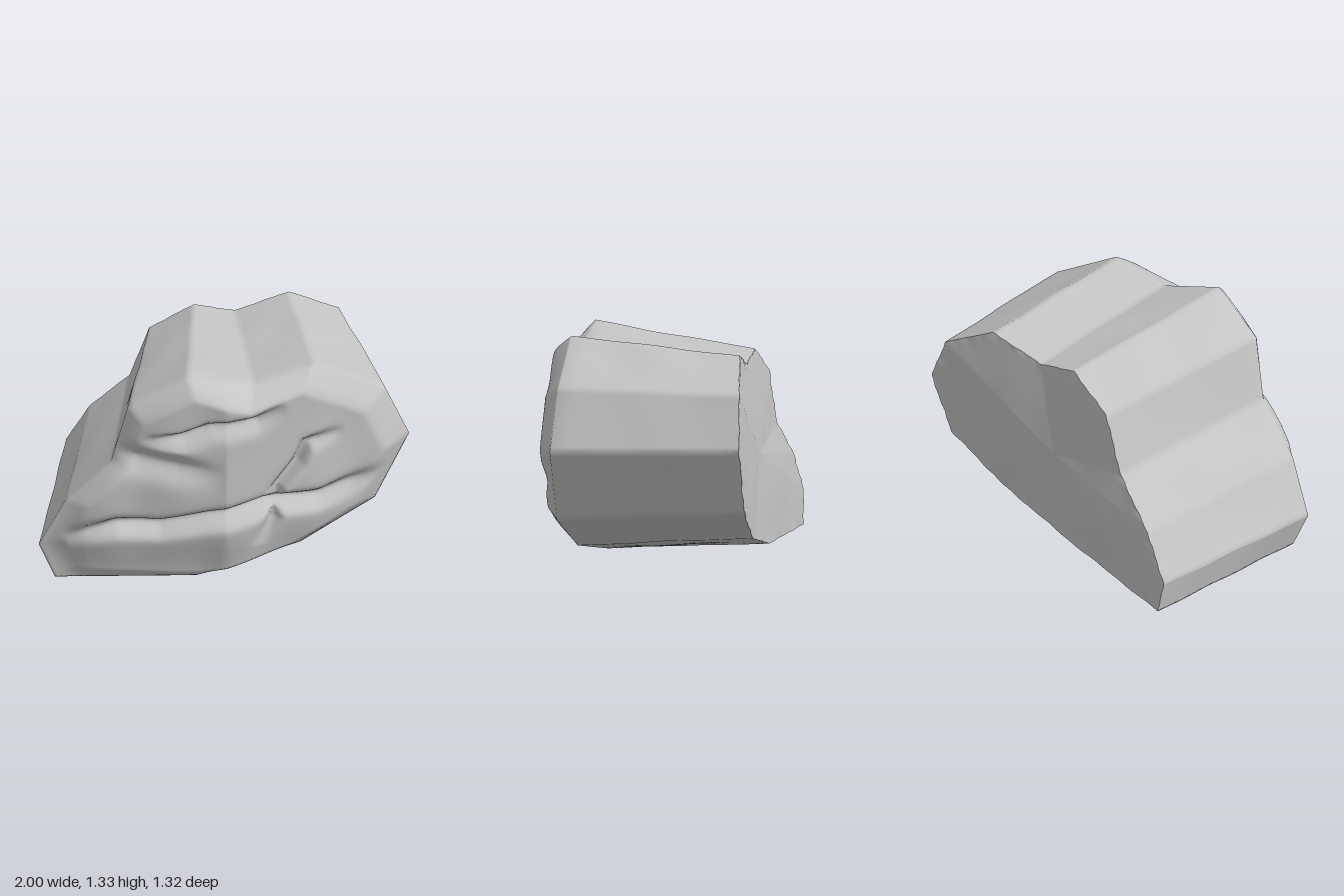
import * as THREE from 'three';

// Corners, counter-clockwise: front x, y, z then back x, y, z
const corners = [
  [-0.93, 0.02, 0.48, -0.86, 0.08, -0.49], [-0.16, 0.0, 0.48, -0.17, 0.11, -0.5],
  [0.42, 0.15, 0.4, 0.33, 0.25, -0.57], [0.83, 0.38, 0.32, 0.69, 0.46, -0.645],
  [1.0, 0.76, 0.27, 0.82, 0.79, -0.66], [0.85, 1.06, 0.29, 0.71, 1.05, -0.62],
  [0.46, 1.29, 0.4, 0.41, 1.215, -0.52], [0.14, 1.22, 0.47, 0.1, 1.14, -0.45],
  [-0.19, 1.325, 0.56, -0.13, 1.2, -0.42], [-0.49, 1.155, 0.55, -0.38, 1.06, -0.42],
  [-0.59, 0.81, 0.53, -0.5, 0.75, -0.43], [-0.84, 0.56, 0.52, -0.74, 0.53, -0.46],
  [-1.0, 0.26, 0.5, -0.89, 0.29, -0.48],
];

// Cracks in the front face: points are x, y, depth; widths above and below the line
const cracks = [
  { up: 0.025, down: 0.055, pts: [[-0.44, 0.98, 0], [-0.22, 1.0, 0.06], [-0.08, 1.05, 0.07], [0.15, 1.07, 0.06], [0.3, 1.14, 0]] },
  { up: 0.06, down: 0.08, pts: [[-0.62, 0.9, 0.03], [-0.45, 0.86, 0.06], [-0.25, 0.82, 0.05], [0.0, 0.77, 0]] },
  { up: 0.05, down: 0.05, pts: [[-0.86, 0.32, 0], [-0.72, 0.39, 0.06], [-0.58, 0.43, 0.09], [-0.35, 0.42, 0.1], [-0.1, 0.48, 0.1],
    [0.2, 0.53, 0.11], [0.5, 0.51, 0.09], [0.68, 0.56, 0.06], [0.86, 0.62, 0]] },
  { up: 0.035, down: 0.035, pts: [[0.17, 0.27, 0], [0.25, 0.43, 0.07], [0.27, 0.63, 0.08], [0.37, 0.76, 0.09], [0.42, 0.87, 0.07], [0.62, 0.92, 0]] },
];

const profile = [[-1, 0.53], [-0.75, 0.6], [-0.4, 0.63], [0, 0.66], [0.3, 0.575], [0.6, 0.475], [0.88, 0.385], [1.01, 0.33]];
const { lerp, clamp, smoothstep } = THREE.MathUtils;
const wobble = (x, y, z) => 0.004 * (Math.sin(11 * x + 5 * y) + Math.sin(9 * y - 13 * z + 2) + Math.sin(17 * x + 7 * z));

// Depth carved at a point of the front face
function carve(x, y) {
  let depth = 0;
  for (const { up, down, pts } of cracks) {
    let best = 0;
    for (let k = 0; k < pts.length - 1; k++) {
      const [ax, ay, ad] = pts[k], [bx, by, bd] = pts[k + 1];
      const dx = bx - ax, dy = by - ay;
      const t = clamp(((x - ax) * dx + (y - ay) * dy) / (dx * dx + dy * dy), 0, 1);
      const dist = Math.hypot(x - ax - t * dx, y - ay - t * dy);
      const width = dx * (y - ay) - dy * (x - ax) > 0 ? up : down;
      best = Math.max(best, lerp(ad, bd, t) * Math.exp(-((dist / width) ** 2)));
    }
    depth = Math.max(depth, best);
  }
  return depth;
}

// Bulging face, carved and beveled down to the rim
function frontZ(x, y, r, rimZ) {
  let k = 0;
  while (k < profile.length - 2 && x > profile[k + 1][0]) k++;
  const [x0, z0] = profile[k], [x1, z1] = profile[k + 1];
  let z = lerp(z0, z1, clamp((x - x0) / (x1 - x0), 0, 1));
  z -= 0.08 * (1 - smoothstep(y, 0, 0.45));
  z -= carve(x, y) - wobble(x, y, 0);
  return lerp(z, rimZ, clamp((r - 0.84) / 0.16, 0, 1) ** 1.5);
}

// Corners subdivided into a fine outline
const STEPS = 14, N = corners.length * STEPS;
const outline = [];
corners.forEach((a, c) => {
  const b = corners[(c + 1) % corners.length];
  for (let s = 0; s < STEPS; s++) outline.push(a.map((v, q) => lerp(v, b[q], s / STEPS)));
});

// Skin of closed rings around a single shared first point
function skin(rows, point, flip = false) {
  const pos = [], index = [];
  for (let j = 0; j < rows; j++) for (let i = 0; i < N; i++) pos.push(...point(j, i));
  const id = (j, i) => (j === 0 ? 0 : j * N + (i % N));
  for (let j = 0; j < rows - 1; j++) for (let i = 0; i < N; i++) {
    const a = id(j, i), b = id(j + 1, i), c = id(j + 1, i + 1), d = id(j, i + 1);
    const tris = a === d ? [[a, b, c]] : [[a, b, c], [a, c, d]];
    for (const [p, q, r] of tris) index.push(p, flip ? r : q, flip ? q : r);
  }
  const g = new THREE.BufferGeometry();
  g.setAttribute('position', new THREE.Float32BufferAttribute(pos, 3));
  g.setIndex(index);
  g.computeVertexNormals();
  return g;
}

export function createModel() {
  const stone = new THREE.MeshStandardMaterial({ color: 0xc4c4c4 });
  stone.name = 'grey stone';
  const group = new THREE.Group();
  group.name = 'rock';
  const add = (name, geometry) => {
    const mesh = new THREE.Mesh(geometry, stone);
    mesh.name = name;
    group.add(mesh);
  };
  // Slight chipping of the back rim
  const chip = (i) => 0.004 * Math.sin(i * 1.1) * Math.sin(i * 0.43);

  // Cracked front and long faceted sides in one smooth skin
  const R = 60, S = 12, cx = 0, cy = 0.62;
  add('rockBody', skin(R + S + 1, (j, i) => {
    const [fx, fy, fz, bx, by, bz] = outline[i];
    if (j <= R) {
      const r = j / R, x = lerp(cx, fx, r), y = lerp(cy, fy, r);
      return [x, y, frontZ(x, y, r, fz)];
    }
    const t = (j - R) / S, x = lerp(fx, bx, t), y = lerp(fy, by, t);
    const z = lerp(fz, bz, t) + chip(i) * t ** 8;
    const w = 1 + wobble(x, y, z) * Math.sin(Math.PI * t);
    return [x * w, cy + (y - cy) * w, z];
  }));

  // Broken, slightly hollow back face with a sharp rim
  const B = 20;
  add('rockBack', skin(B + 1, (j, i) => {
    const [, , , bx, by, bz] = outline[i];
    const r = j / B, x = lerp(-0.03, bx, r), y = lerp(0.64, by, r);
    return [x, y, lerp(-0.49, bz, r) + chip(i) * r ** 30 + wobble(x, y, 0) * (1 - r)];
  }, true));

  return group;
}
